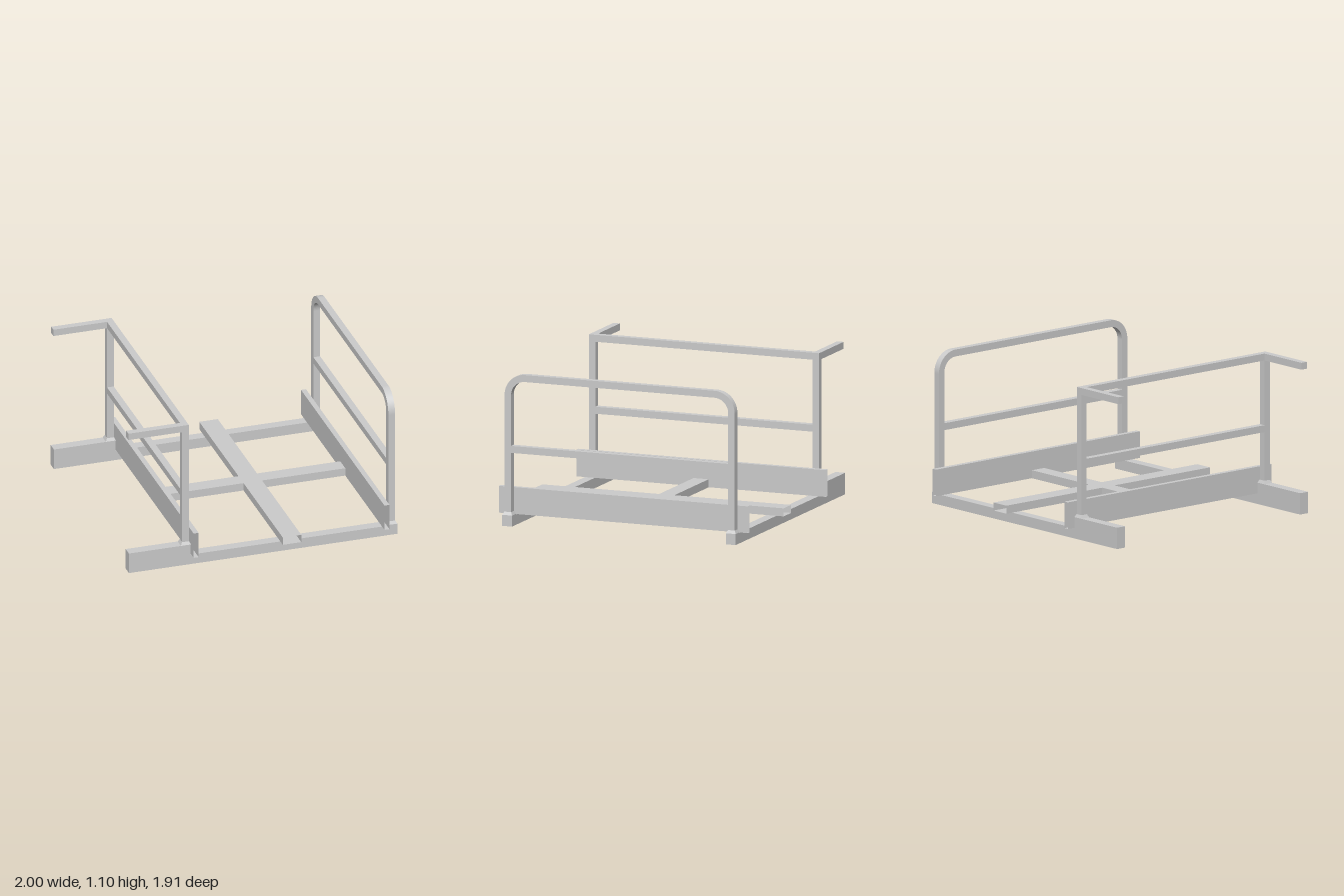
import * as THREE from 'three';

const grey = new THREE.MeshStandardMaterial({ color: 0xcccccc });
const greyOpen = new THREE.MeshStandardMaterial({ color: 0xcccccc, side: THREE.DoubleSide });

export function createModel() {
  const model = new THREE.Group();

  const add = (name, geometry, material = grey) => {
    const mesh = new THREE.Mesh(geometry, material);
    mesh.name = name;
    model.add(mesh);
    return mesh;
  };

  // Closed bar given by its limits on each axis
  const bar = (name, x0, x1, y0, y1, z0, z1) =>
    add(name, new THREE.BoxGeometry(x1 - x0, y1 - y0, z1 - z0)
      .translate((x0 + x1) / 2, (y0 + y1) / 2, (z0 + z1) / 2));

  // Hollow bar along z, open at both ends
  const openBar = (name, x0, x1, y0, y1, halfLength) => {
    const geometry = new THREE.BoxGeometry(x1 - x0, y1 - y0, 2 * halfLength)
      .translate((x0 + x1) / 2, (y0 + y1) / 2, 0);
    geometry.setIndex(Array.from(geometry.index.array).slice(0, 24)); // drop the z caps
    geometry.clearGroups();
    add(name, geometry, greyOpen);
  };

  // Square tapered collar at the foot of a post
  const collar = (name, x, y, z) => {
    const geometry = new THREE.CylinderGeometry(0.026 * Math.SQRT2, 0.0375 * Math.SQRT2, 0.022, 4, 1)
      .rotateY(Math.PI / 4).toNonIndexed();
    geometry.computeVertexNormals();
    add(name, geometry.translate(x, y + 0.011, z));
  };

  const postZ = 0.86, half = 0.025;
  const top = 1.1, crossLow = 0.53, crossHigh = 0.58;

  for (const side of [-1, 1]) {
    const z = side * postZ;
    // Floor rail with its raised end
    bar('sideRail', -0.54, 1, 0, 0.075, z - 0.0375, z + 0.0375);
    bar('railRaisedEnd', -1, -0.54, 0, 0.155, z - 0.0375, z + 0.0375);
    // Square end frame posts and arms
    bar('headPost', -0.6, -0.55, 0.155, top, z - half, z + half);
    bar('headArm', -1, -0.6, 1.05, top, z - half, z + half);
    collar('headPostCollar', -0.575, 0.155, z);
    bar('footPostBase', 0.925, 1, 0.075, 0.08, z - 0.0375, z + 0.0375);
    collar('footPostCollar', 0.9625, 0.08, z);
  }

  // Horizontal bars of both end frames
  const inner = postZ - half;
  bar('headTopBar', -0.6, -0.55, 1.05, top, -inner, inner);
  bar('headCrossBar', -0.6, -0.55, crossLow, crossHigh, -inner, inner);
  bar('footCrossBar', 0.9375, 0.9875, crossLow, crossHigh, -inner, inner);

  // Rounded hoop of the other end frame
  const outer = postZ + half, R = 0.155, r = 0.105, y0 = 0.075;
  const hoop = new THREE.Shape();
  hoop.moveTo(outer, y0);
  hoop.lineTo(outer, top - R);
  hoop.absarc(outer - R, top - R, R, 0, Math.PI / 2, false);
  hoop.absarc(-outer + R, top - R, R, Math.PI / 2, Math.PI, false);
  hoop.lineTo(-outer, y0);
  hoop.lineTo(-inner, y0);
  hoop.absarc(-inner + r, top - R, r, Math.PI, Math.PI / 2, true);
  hoop.absarc(inner - r, top - R, r, Math.PI / 2, 0, true);
  hoop.lineTo(inner, y0);
  add('footHoop', new THREE.ExtrudeGeometry(hoop, { depth: 0.05, bevelEnabled: false, curveSegments: 16 })
    .rotateY(Math.PI / 2).translate(0.9375, 0, 0));

  // Hollow boards and the middle beam laid across the rails
  openBar('headBoard', -0.537, -0.5, 0.077, 0.27, 0.957);
  openBar('footBoard', 0.885, 0.922, 0.077, 0.27, 0.957);
  openBar('middleBeam', 0.127, 0.265, 0.077, 0.135, 0.957);

  // Spine in two lengths, either side of the middle beam
  bar('spineHeadHalf', -0.5, 0.127, 0.077, 0.135, -0.058, 0.058);
  bar('spineFootHalf', 0.265, 0.885, 0.077, 0.135, -0.058, 0.058);

  return model;
}
